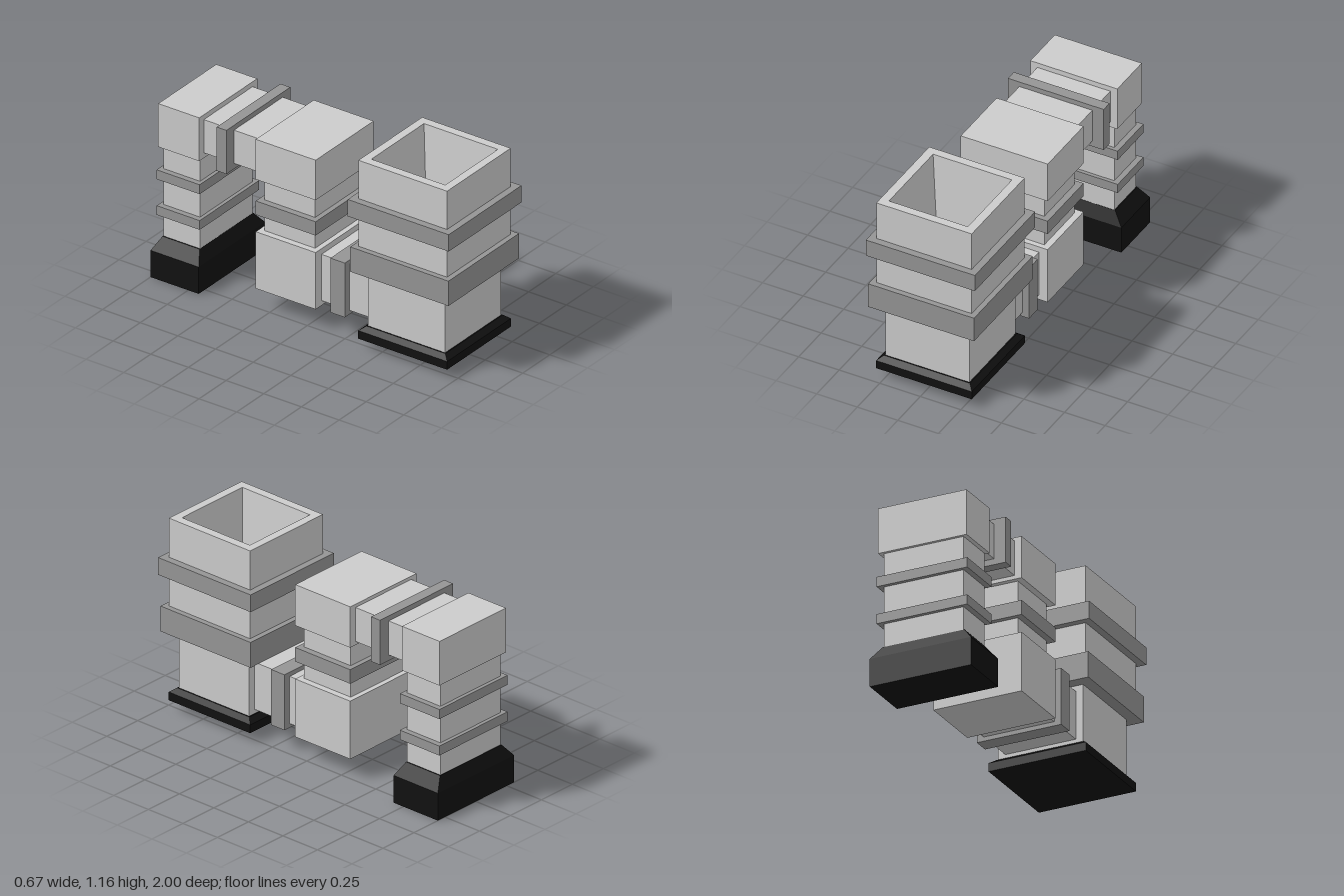
import * as THREE from 'three';

const mat = (color) => new THREE.MeshStandardMaterial({ color, flatShading: true });
const LIGHT = mat(0xcccccc), BAND = mat(0x959595), RUBBER = mat(0x111111);

// Box given by half width in x and its y and z ranges
function block(parent, name, material, hx, y0, y1, z0, z1) {
  const mesh = new THREE.Mesh(new THREE.BoxGeometry(2 * hx, y1 - y0, z1 - z0), material);
  mesh.position.set(0, (y0 + y1) / 2, (z0 + z1) / 2);
  mesh.name = name;
  parent.add(mesh);
}

// Rectangular sections [half x, half z, y] joined in order, outside faces first
function loft(parent, name, material, z, sections) {
  const corners = sections.map(([hx, hz, y]) =>
    [[hx, y, hz], [hx, y, -hz], [-hx, y, -hz], [-hx, y, hz]]);
  const pos = [];
  for (let i = 0; i < corners.length - 1; i++) {
    for (let k = 0; k < 4; k++) {
      const n = (k + 1) % 4;
      const a = corners[i][k], b = corners[i][n], c = corners[i + 1][n], d = corners[i + 1][k];
      pos.push(...a, ...b, ...c, ...a, ...c, ...d);
    }
  }
  const geo = new THREE.BufferGeometry();
  geo.setAttribute('position', new THREE.Float32BufferAttribute(pos, 3));
  geo.computeVertexNormals();
  const mesh = new THREE.Mesh(geo, material);
  mesh.name = name;
  mesh.position.z = z;
  parent.add(mesh);
}

// Rectangular collar open in the middle
function collar(parent, name, z, hx, hz, y0, y1, inner) {
  loft(parent, name, BAND, z,
    [[inner, inner, y0], [hx, hz, y0], [hx, hz, y1], [inner, inner, y1]]);
}

// Black foot with a chamfered top edge
function foot(parent, name, z, hx, hz, y0, yChamfer, y1, topX, topZ) {
  loft(parent, name, RUBBER, z, [[0, 0, y0], [hx, hz, y0], [hx, hz, yChamfer], [topX, topZ, y1], [0, 0, y1]]);
}

export function createModel() {
  const model = new THREE.Group();
  model.name = 'squarePipe';

  // Open front tower with tapering hollow
  const front = new THREE.Group();
  front.name = 'frontTower';
  const zf = 0.665;
  loft(front, 'towerShell', LIGHT, zf, [
    [0, 0, 0.12], [0.258, 0.255, 0.12], [0.258, 0.255, 0.5], [0.294, 0.294, 0.5],
    [0.294, 0.294, 1.16], [0.243, 0.245, 1.16], [0.144, 0.146, 0.25], [0, 0, 0.25],
  ]);
  collar(front, 'lowerCollar', zf, 0.326, 0.326, 0.477, 0.63, 0.255);
  collar(front, 'upperCollar', zf, 0.336, 0.335, 0.82, 0.924, 0.28);
  foot(front, 'frontFoot', zf, 0.295, 0.295, 0.06, 0.11, 0.135, 0.265, 0.262);
  model.add(front);

  // Low pipe from the tower to the middle riser
  const low = new THREE.Group();
  low.name = 'lowerConnector';
  block(low, 'lowerPipe', LIGHT, 0.214, 0.16, 0.445, 0.05, 0.42);
  block(low, 'lowerPipeRing', BAND, 0.256, 0.135, 0.47, 0.157, 0.253);
  model.add(low);

  // Middle riser with two elbows
  const middle = new THREE.Group();
  middle.name = 'middleRiser';
  block(middle, 'lowerElbow', LIGHT, 0.268, 0.13, 0.48, -0.33, 0.068);
  block(middle, 'riserPipe', LIGHT, 0.23, 0.47, 0.81, -0.3, 0.037);
  block(middle, 'riserRing', BAND, 0.268, 0.585, 0.67, -0.33, 0.068);
  block(middle, 'upperElbow', LIGHT, 0.268, 0.803, 1.05, -0.33, 0.068);
  model.add(middle);

  // High pipe to the rear
  const high = new THREE.Group();
  high.name = 'upperConnector';
  block(high, 'upperPipe', LIGHT, 0.225, 0.825, 1.03, -0.71, -0.32);
  block(high, 'upperPipeRing', BAND, 0.295, 0.79, 1.06, -0.57, -0.505);
  model.add(high);

  // Rear downpipe on its foot
  const rear = new THREE.Group();
  rear.name = 'rearDownpipe';
  block(rear, 'rearElbow', LIGHT, 0.268, 0.793, 1.06, -0.977, -0.705);
  block(rear, 'downpipe', LIGHT, 0.242, 0.22, 0.8, -0.96, -0.718);
  for (const [y0, y1] of [[0.375, 0.432], [0.595, 0.653]])
    block(rear, 'downpipeRing', BAND, 0.275, y0, y1, -0.982, -0.697);
  foot(rear, 'rearFoot', -0.84, 0.307, 0.16, 0, 0.165, 0.237, 0.248, 0.123);
  model.add(rear);

  return model;
}
